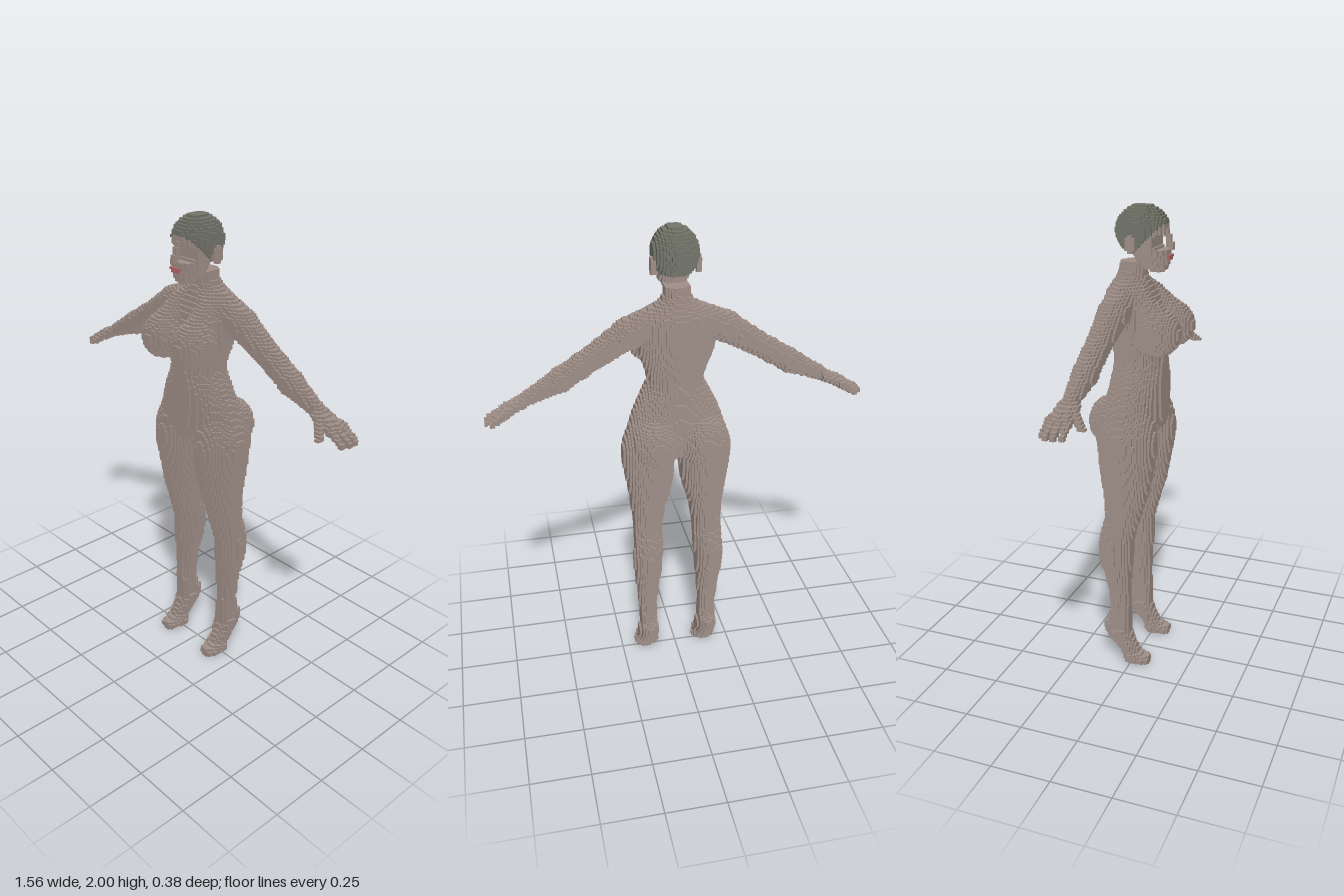
import * as THREE from 'three';

// The figure is sampled on a fine cubic grid, so every surface is finely stepped.
const CELL = 0.01, NX = 160, NY = 200, NZ = 42;
const SIZE = [NX, NY, NZ], ORIGIN = [-0.8, 0, -0.21];

// ---- distance helpers (negative = inside); x is always the mirrored |x|
const blob = (cx, cy, cz, rx, ry, rz) => (x, y, z) =>
  (Math.hypot((x - cx) / rx, (y - cy) / ry, (z - cz) / rz) - 1) * Math.min(rx, ry, rz);

// tapered capsule from a to b; sx, sy, sz stretch its cross-section
const limb = (a, b, ra, rb, sx = 1, sy = 1, sz = 1) => {
  const dx = (b[0] - a[0]) / sx, dy = (b[1] - a[1]) / sy, dz = (b[2] - a[2]) / sz;
  const len2 = dx * dx + dy * dy + dz * dz;
  return (x, y, z) => {
    const px = (x - a[0]) / sx, py = (y - a[1]) / sy, pz = (z - a[2]) / sz;
    const t = THREE.MathUtils.clamp((px * dx + py * dy + pz * dz) / len2, 0, 1);
    return Math.hypot(px - dx * t, py - dy * t, pz - dz * t) - (ra + (rb - ra) * t);
  };
};

// stack of elliptical sections [y, cx, cz, rx, rz], listed from the top down
const loft = (rows) => (x, y, z) => {
  const n = rows.length;
  if (y > rows[0][0] || y < rows[n - 1][0]) return 1;
  let i = 0;
  while (i < n - 2 && y < rows[i + 1][0]) i++;
  const a = rows[i], b = rows[i + 1];
  const p = rows[Math.max(i - 1, 0)], q = rows[Math.min(i + 2, n - 1)];
  const t = (a[0] - y) / (a[0] - b[0]), h = b[0] - a[0];
  const at = (k) => {
    const m0 = ((b[k] - p[k]) / (b[0] - p[0])) * h, m1 = ((q[k] - a[k]) / (q[0] - a[0])) * h;
    const t2 = t * t, t3 = t2 * t;
    return (2 * t3 - 3 * t2 + 1) * a[k] + (t3 - 2 * t2 + t) * m0 + (3 * t2 - 2 * t3) * b[k] + (t3 - t2) * m1;
  };
  const rx = at(3), rz = at(4);
  return (Math.hypot((x - at(1)) / rx, (z - at(2)) / rz) - 1) * Math.min(rx, rz);
};

// smooth union
const blend = (k, ...fs) => (x, y, z) => {
  let d = 1;
  for (const f of fs) {
    const e = f(x, y, z), h = Math.max(k - Math.abs(d - e), 0) / k;
    d = Math.min(d, e) - h * h * k * 0.25;
  }
  return d;
};

// ---- body parts
const torso = blend(0.02,
  loft([
    [1.78, 0, -0.035, 0.055, 0.055], [1.74, 0, -0.042, 0.056, 0.056], [1.715, 0, -0.045, 0.075, 0.062],
    [1.69, 0, -0.045, 0.12, 0.075], [1.66, 0, -0.045, 0.16, 0.09], [1.6, 0, -0.035, 0.165, 0.108],
    [1.5, 0, -0.02, 0.148, 0.115], [1.42, 0, -0.01, 0.122, 0.108], [1.37, 0, -0.007, 0.116, 0.108],
    [1.3, 0, -0.01, 0.15, 0.115], [1.2, 0, -0.02, 0.193, 0.12], [1.12, 0, -0.025, 0.195, 0.12],
    [1.07, 0, -0.03, 0.13, 0.1], [1.05, 0, -0.03, 0.07, 0.06],
  ]),
  blob(0.09, 1.51, 0.1, 0.085, 0.088, 0.088),
  limb([0.08, 1.64, 0.02], [0.088, 1.54, 0.09], 0.04, 0.07),
  blob(0.1, 1.125, -0.1, 0.095, 0.105, 0.092));

const leg = blend(0.015,
  loft([
    [1.2, 0.1, -0.03, 0.09, 0.1], [1.1, 0.117, -0.03, 0.108, 0.125], [1.02, 0.12, -0.025, 0.108, 0.123],
    [0.9, 0.118, -0.03, 0.092, 0.11], [0.8, 0.126, -0.032, 0.071, 0.092], [0.7, 0.13, -0.045, 0.062, 0.075],
    [0.6, 0.134, -0.07, 0.061, 0.074], [0.5, 0.137, -0.073, 0.059, 0.072], [0.4, 0.137, -0.061, 0.048, 0.052],
    [0.3, 0.136, -0.055, 0.04, 0.045], [0.2, 0.135, -0.054, 0.039, 0.048], [0.12, 0.135, -0.05, 0.036, 0.04],
  ]),
  // raised heel, instep, ball and toes
  limb([0.135, 0.165, -0.095], [0.135, 0.13, -0.075], 0.036, 0.036),
  limb([0.135, 0.13, -0.05], [0.137, 0.035, 0.005], 0.042, 0.032, 1.2),
  limb([0.137, 0.03, 0], [0.138, 0.02, 0.065], 0.03, 0.02, 1.85));

const arm = blend(0.015,
  limb([0.1, 1.635, -0.05], [0.2, 1.598, -0.05], 0.065, 0.058),
  limb([0.2, 1.598, -0.05], [0.39, 1.48, -0.055], 0.058, 0.043),
  limb([0.39, 1.48, -0.055], [0.47, 1.43, -0.055], 0.045, 0.045),
  limb([0.47, 1.43, -0.055], [0.61, 1.36, -0.055], 0.045, 0.027));

const fingers = [-0.102, -0.077, -0.05, -0.022].map((z, i) =>
  limb([0.69, 1.32, z * 0.9 - 0.005], [[0.75, 0.772, 0.775, 0.76][i], 1.28, z], 0.014, 0.01));
const hand = blend(0.01,
  limb([0.62, 1.353, -0.055], [0.7, 1.315, -0.06], 0.021, 0.021, 1, 1, 2),
  ...fingers,
  limb([0.64, 1.34, -0.03], [0.69, 1.298, 0.025], 0.018, 0.012));

const skull = blob(0, 1.9, 0, 0.083, 0.094, 0.104);
const face = blend(0.02, skull, blob(0, 1.825, 0.04, 0.068, 0.08, 0.075), blob(0, 1.775, 0.07, 0.035, 0.033, 0.035));
// open eye band running across the face
const head = (x, y, z) => Math.max(face(x, y, z), 0.031 - Math.hypot(y - 1.86, z - 0.087));
const ear = blob(0.09, 1.855, -0.02, 0.014, 0.036, 0.022);
const nose = limb([0, 1.9, 0.1], [0, 1.838, 0.12], 0.013, 0.014);
const cap = blob(0, 1.9, 0, 0.092, 0.102, 0.11);
const hair = (x, y, z) => Math.max(cap(x, y, z), z - 0.02 - (y - 1.85), 1.82 - y);
const lips = blob(0, 1.802, 0.113, 0.027, 0.012, 0.011);

const SKIN = 0xa08f88, HAIR = 0x74756a, LIPS = 0xb06a66;
// [name, field, lowest y, highest y, color, paired]; earlier entries keep shared cells
const PARTS = [
  ['lips', lips, 1.77, 1.83, LIPS], ['hair', hair, 1.8, 2, HAIR],
  ['ear', ear, 1.8, 1.91, SKIN, true], ['nose', nose, 1.8, 1.93, SKIN], ['head', head, 1.73, 2, SKIN],
  ['torso', torso, 1, 1.8, SKIN], ['hand', hand, 1.24, 1.4, SKIN, true],
  ['arm', arm, 1.3, 1.72, SKIN, true], ['leg', leg, 0, 1.22, SKIN, true],
];

const index = (i, j, k) => (j * NZ + k) * NX + i;

// marks each cell with its part number, even = right or middle, odd = left
function fillGrid() {
  const grid = new Uint8Array(NX * NY * NZ);
  PARTS.forEach(([, field, y0, y1, , paired], n) => {
    for (let j = Math.round(y0 / CELL); j < Math.min(NY, Math.round(y1 / CELL)); j++)
      for (let k = 0; k < NZ; k++)
        for (let i = NX / 2; i < NX; i++) {
          const at = index(i, j, k);
          if (grid[at]) continue;
          const x = ORIGIN[0] + (i + 0.5) * CELL, y = (j + 0.5) * CELL, z = ORIGIN[2] + (k + 0.5) * CELL;
          if (field(x, y, z) > 0) continue;
          grid[at] = 2 * n + 2 + (paired ? 1 : 0);
          grid[index(NX - 1 - i, j, k)] = 2 * n + 2;
        }
  });
  return grid;
}

// one quad for every cell side that meets open space
function collectFaces(grid) {
  const out = new Map();
  const filled = (c) => c.every((v, a) => v >= 0 && v < SIZE[a]) && grid[index(...c)] > 0;
  const corners = [[0, 0], [1, 0], [1, 1], [0, 1]];
  for (let j = 0; j < NY; j++) for (let k = 0; k < NZ; k++) for (let i = 0; i < NX; i++) {
    const id = grid[index(i, j, k)];
    if (!id) continue;
    if (!out.has(id)) out.set(id, { pos: [], idx: [] });
    const { pos, idx } = out.get(id), c = [i, j, k];
    for (let d = 0; d < 3; d++) for (const s of [-1, 1]) {
      const next = c.slice();
      next[d] += s;
      if (filled(next)) continue;
      const base = pos.length / 3;
      for (const [u, v] of corners) {
        const p = c.slice();
        p[d] += s > 0 ? 1 : 0;
        p[(d + 1) % 3] += u;
        p[(d + 2) % 3] += v;
        pos.push(...p.map((q, a) => ORIGIN[a] + q * CELL));
      }
      const o = s > 0 ? [0, 1, 2, 0, 2, 3] : [0, 2, 1, 0, 3, 2];
      idx.push(...o.map((q) => base + q));
    }
  }
  return out;
}

export function createModel() {
  const model = new THREE.Group();
  model.name = 'figure';
  for (const [id, { pos, idx }] of collectFaces(fillGrid())) {
    const [name, , , , color, paired] = PARTS[(id >> 1) - 1];
    const geometry = new THREE.BufferGeometry();
    geometry.setAttribute('position', new THREE.Float32BufferAttribute(pos, 3));
    geometry.setIndex(idx);
    geometry.computeVertexNormals();
    const mesh = new THREE.Mesh(geometry, new THREE.MeshStandardMaterial({ color }));
    const side = id & 1 ? 'left' : 'right';
    mesh.name = paired ? side + name[0].toUpperCase() + name.slice(1) : name;
    model.add(mesh);
  }
  return model;
}
